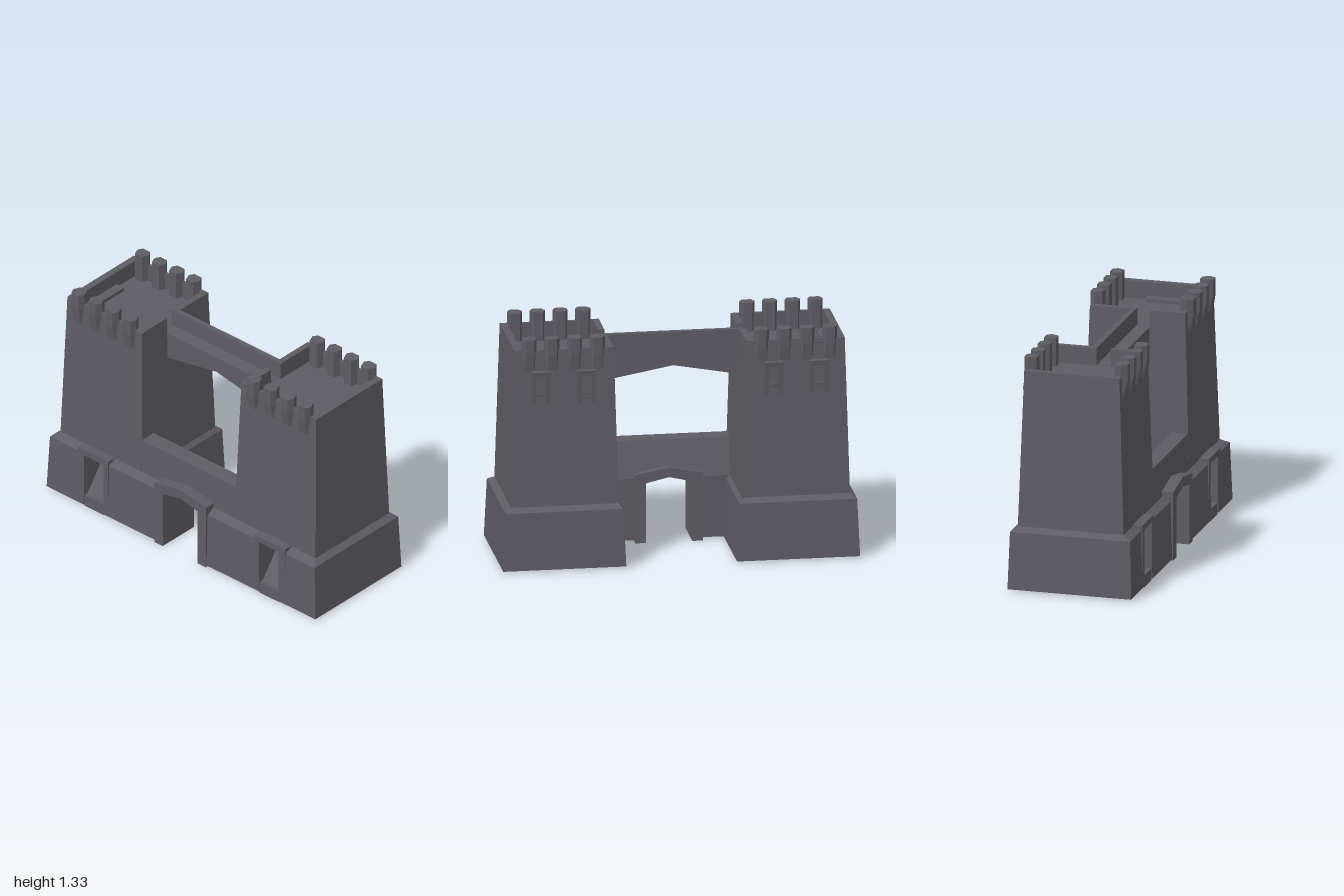
import * as THREE from 'three';

const stone = new THREE.MeshStandardMaterial({ color: 0x5e5d64 });
stone.name = 'darkStone';

// Closed solid from stacked rings of equal length (counter-clockwise seen from above)
function loft(rings) {
  const n = rings[0].length, top = (rings.length - 1) * n, idx = [];
  for (let r = 0; r < top; r += n) {
    for (let i = 0; i < n; i++) {
      const a = r + i, b = r + (i + 1) % n;
      idx.push(a, b, b + n, a, b + n, a + n);
    }
  }
  for (let i = 1; i < n - 1; i++) {
    idx.push(top, top + i, top + i + 1, 0, i + 1, i);
  }
  const g = new THREE.BufferGeometry();
  g.setAttribute('position', new THREE.Float32BufferAttribute(rings.flat(2), 3));
  g.setIndex(idx);
  const flat = g.toNonIndexed();
  flat.computeVertexNormals();
  return flat;
}

const ring = (y, [x0, x1, z0, z1]) => [[x0, y, z1], [x1, y, z1], [x1, y, z0], [x0, y, z0]];

// Six-sided ring, widest at zm
const hexRing = (y, x, z0, zm, z1) => [
  [x - 0.026, y, z1], [x + 0.026, y, z1], [x + 0.043, y, zm],
  [x + 0.025, y, z0], [x - 0.025, y, z0], [x - 0.043, y, zm],
];

function add(parent, name, geometry) {
  const m = new THREE.Mesh(geometry, stone);
  m.name = name;
  parent.add(m);
}

function extrude(points, z0, z1) {
  const shape = new THREE.Shape(points.map(p => new THREE.Vector2(...p)));
  const g = new THREE.ExtrudeGeometry(shape, { depth: z1 - z0, bevelEnabled: false });
  return g.translate(0, 0, z0);
}

// One tower with its share of the base; s = 1 for left, -1 for right
function makeTower(s) {
  const tower = new THREE.Group();
  tower.name = s > 0 ? 'leftTower' : 'rightTower';
  const flip = ([x0, x1, z0, z1]) => s > 0 ? [x0, x1, z0, z1] : [-x1, -x0, z0, z1];
  const block = (name, y0, a, y1, b = a) =>
    add(tower, name, loft([ring(y0, flip(a)), ring(y1, flip(b))]));

  // Thin-walled base, open below, with a doorway in front
  block('baseBack', 0.01, [0.31, 1, -0.36, -0.348], 0.34, [0.325, 0.985, -0.35, -0.338]);
  block('baseOuterSide', 0.01, [0.988, 1, -0.36, 0.354], 0.34, [0.973, 0.985, -0.35, 0.343]);
  block('baseInnerSide', 0.01, [0.31, 0.322, -0.36, 0.354], 0.34, [0.325, 0.337, -0.35, 0.343]);
  block('baseFrontOuter', 0.01, [0.725, 1, 0.342, 0.354], 0.34, [0.725, 0.985, 0.331, 0.343]);
  block('baseFrontInner', 0.01, [0.31, 0.58, 0.342, 0.354], 0.34, [0.325, 0.58, 0.331, 0.343]);
  block('baseBevel', 0.34, [0.325, 0.985, -0.35, 0.343], 0.365, [0.345, 0.95, -0.315, 0.295]);

  // Ceiling inside the base, notched around the doorway
  block('baseCeiling', 0.2, [0.32, 0.98, -0.345, 0.22], 0.21);
  block('baseCeiling', 0.2, [0.32, 0.57, 0.22, 0.338], 0.21);
  block('baseCeiling', 0.2, [0.735, 0.98, 0.22, 0.338], 0.21);

  // Curtain wall foot beside the gate
  block('wallFoot', 0.01, [0.13, 0.318, 0.13, 0.354], 0.34, [0.13, 0.33, 0.13, 0.343]);
  add(tower, 'wallFootBevel', loft([
    ring(0.34, flip([0.13, 0.345, 0.13, 0.343])),
    ring(0.365, flip([0.13, 0.355, 0.13, 0.295])),
    ring(0.38, flip([0.13, 0.36, 0.135, 0.294])),
  ]));

  // Door frame, sill and the ramp rising behind it
  block('doorJamb', 0.01, [0.545, 0.58, 0.32, 0.351], 0.37);
  block('doorJamb', 0.01, [0.725, 0.77, 0.32, 0.351], 0.37);
  block('doorLintel', 0.335, [0.545, 0.77, 0.28, 0.351], 0.37);
  block('doorSill', 0, [0.58, 0.725, 0.32, 0.348], 0.07);
  block('doorRamp', 0.05, [0.575, 0.73, 0.31, 0.335], 0.338, [0.575, 0.73, 0.1, 0.125]);
  for (const x of [0.57, 0.725]) {
    block('doorRecessSide', 0.05, [x, x + 0.01, 0.315, 0.345], 0.338, [x, x + 0.01, 0.105, 0.345]);
  }

  // Tapering shaft up to the roof deck
  block('shaft', 0.36, [0.345, 0.95, -0.315, 0.295], 1.16, [0.367, 0.928, -0.288, 0.268]);

  // Parapet, open on the inner side for the bridge
  block('parapetFront', 1.16, [0.367, 0.928, 0.245, 0.268], 1.26, [0.37, 0.925, 0.245, 0.265]);
  block('parapetBack', 1.16, [0.367, 0.928, -0.288, -0.265], 1.26, [0.37, 0.925, -0.285, -0.265]);
  block('parapetOuter', 1.16, [0.885, 0.928, -0.265, 0.245], 1.26, [0.885, 0.925, -0.265, 0.245]);
  block('parapetInner', 1.16, [0.367, 0.405, -0.265, -0.02], 1.26, [0.37, 0.405, -0.265, -0.02]);
  block('parapetInner', 1.16, [0.367, 0.405, 0.06, 0.245], 1.26, [0.37, 0.405, 0.06, 0.245]);
  block('deckStep', 1.16, [0.83, 0.886, -0.1, 0.16], 1.18);

  // Merlons, chamfered in plan and leaning back to the wall below
  for (const x of [0.46, 0.587, 0.715, 0.842]) {
    add(tower, 'frontMerlon', loft([[1.14, 0.28], [1.23, 0.295], [1.325, 0.295]]
      .map(([y, z]) => hexRing(y, s * x, 0.22, 0.262, z))));
    add(tower, 'backMerlon', loft([[1.14, -0.29], [1.23, -0.3], [1.325, -0.3]]
      .map(([y, z]) => hexRing(y, s * x, z, -0.272, -0.23))));
  }

  // Hooded window frames on the back
  for (const x of [0.525, 0.78]) {
    for (const j of [-0.04, 0.04]) {
      block('windowJamb', 0.95, [x + j - 0.012, x + j + 0.012, -0.298, -0.27],
        1.14, [x + j - 0.012, x + j + 0.012, -0.32, -0.27]);
    }
    block('windowLintel', 1.11, [x - 0.052, x + 0.052, -0.316, -0.27],
      1.14, [x - 0.052, x + 0.052, -0.32, -0.27]);
    block('windowSill', 0.99, [x - 0.04, x + 0.04, -0.302, -0.27],
      1.01, [x - 0.04, x + 0.04, -0.304, -0.27]);
  }
  return tower;
}

export function createModel() {
  const model = new THREE.Group();
  model.name = 'gatehouse';
  model.add(makeTower(1), makeTower(-1));

  // Curtain wall above the gate, with a sloping back
  add(model, 'curtainWall', loft([
    ring(0.38, [-0.36, 0.36, 0.135, 0.294]),
    ring(0.57, [-0.36, 0.36, 0.19, 0.287]),
  ]));

  // Gate surround with a low pointed head
  add(model, 'gateFrame', extrude([
    [-0.19, 0], [-0.13, 0], [-0.13, 0.345], [0, 0.375], [0.13, 0.345], [0.13, 0],
    [0.19, 0], [0.19, 0.395], [0, 0.43], [-0.19, 0.395],
  ], 0.1, 0.36));

  // High bridge with a parapet along its back
  add(model, 'bridgeWalkway', extrude([
    [-0.39, 0.997], [0, 1.068], [0.39, 0.997], [0.39, 1.162], [-0.39, 1.162],
  ], -0.05, 0.06));
  add(model, 'bridgeParapet', loft([
    ring(1.16, [-0.39, 0.39, -0.05, -0.02]),
    ring(1.262, [-0.39, 0.39, -0.05, -0.02]),
  ]));
  return model;
}
